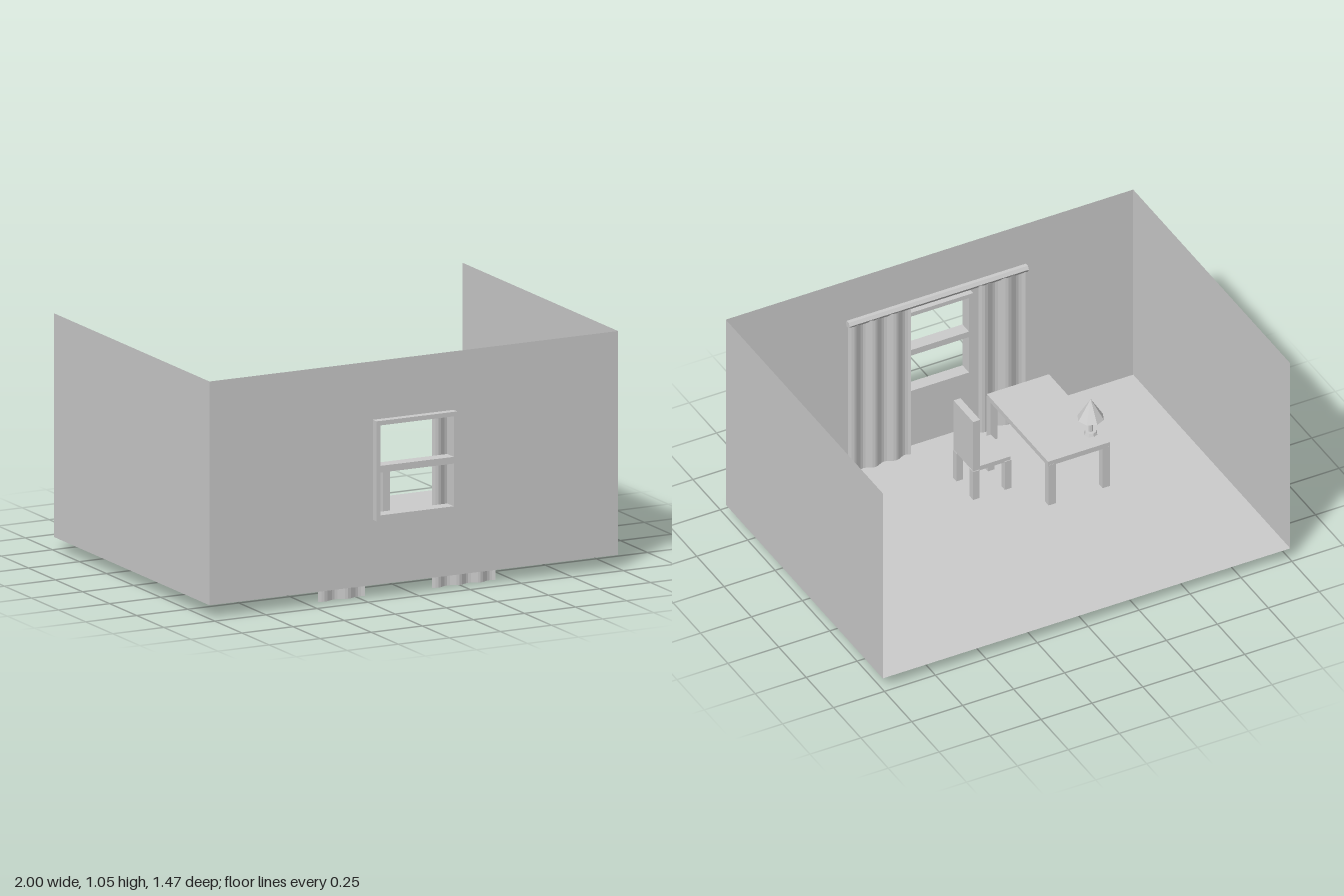
import * as THREE from 'three';

const FLOOR = 0.065;
const mat = new THREE.MeshStandardMaterial({ color: 0xcccccc, flatShading: true, side: THREE.DoubleSide });

function add(parent, name, geometry, x = 0, y = 0, z = 0) {
  const mesh = new THREE.Mesh(geometry, mat);
  mesh.name = name;
  mesh.position.set(x, y, z);
  parent.add(mesh);
  return mesh;
}

// Box given by its minimum and maximum corners
function box(parent, name, [x0, y0, z0], [x1, y1, z1]) {
  return add(parent, name, new THREE.BoxGeometry(x1 - x0, y1 - y0, z1 - z0),
    (x0 + x1) / 2, (y0 + y1) / 2, (z0 + z1) / 2);
}

function rect(Type, x0, y0, x1, y1) {
  return new Type().moveTo(x0, y0).lineTo(x1, y0).lineTo(x1, y1).lineTo(x0, y1).closePath();
}

function group(parent, name) {
  const g = new THREE.Group();
  g.name = name;
  parent.add(g);
  return g;
}

// Four square legs at the crossings of the given x and z positions
function legs(parent, name, xs, zs, bottom, top, width) {
  const h = width / 2;
  for (const x of xs) for (const z of zs) {
    box(parent, name, [x - h, bottom, z - h], [x + h, top, z + h]);
  }
}

// Sheet of cloth folded in a sine wave along x
function curtain(parent, name, x0, x1, waves) {
  const y0 = 0.005, y1 = 0.855;
  const geo = new THREE.PlaneGeometry(x1 - x0, y1 - y0, waves * 8, 1);
  const pos = geo.attributes.position;
  for (let i = 0; i < pos.count; i++) {
    const t = (pos.getX(i) - (x0 - x1) / 2) / (x1 - x0);
    pos.setZ(i, 0.009 * Math.sin(t * waves * Math.PI * 2));
  }
  geo.computeVertexNormals();
  add(parent, name, geo, (x0 + x1) / 2, (y0 + y1) / 2, 0.644);
}

export function createModel() {
  const model = new THREE.Group();
  model.name = 'room';

  // Room shell: floor, two side walls and the front wall with its opening
  const shell = group(model, 'shell');
  const zBack = -0.735, zFront = 0.7, top = 1.06;
  const depth = zFront - zBack, zMid = (zFront + zBack) / 2;
  add(shell, 'floor', new THREE.PlaneGeometry(2, depth).rotateX(-Math.PI / 2), 0, FLOOR, zMid);
  for (const side of [-1, 1]) {
    add(shell, side < 0 ? 'rightWall' : 'leftWall',
      new THREE.PlaneGeometry(depth, top - FLOOR).rotateY(side * Math.PI / 2),
      side, (top + FLOOR) / 2, zMid);
  }
  const wall = rect(THREE.Shape, -1, FLOOR, 1, top);
  wall.holes.push(rect(THREE.Path, -0.19, 0.365, 0.19, 0.79));
  add(shell, 'frontWall', new THREE.ShapeGeometry(wall), 0, 0, zFront);

  // Window frame with two panes open
  const frame = rect(THREE.Shape, -0.2, 0.355, 0.195, 0.8);
  frame.holes.push(rect(THREE.Path, -0.18, 0.38, 0.178, 0.57));
  frame.holes.push(rect(THREE.Path, -0.18, 0.6, 0.178, 0.78));
  add(model, 'windowFrame',
    new THREE.ExtrudeGeometry(frame, { depth: 0.06, bevelEnabled: false }), 0, 0, 0.674);

  // Curtains on a rod
  const drapes = group(model, 'curtains');
  add(drapes, 'curtainRod',
    new THREE.CylinderGeometry(0.018, 0.018, 0.88, 6).rotateZ(Math.PI / 2), -0.015, 0.86, 0.656);
  curtain(drapes, 'leftCurtain', 0.12, 0.43, 3);
  curtain(drapes, 'rightCurtain', -0.44, -0.21, 2);

  // Table
  const table = group(model, 'table');
  box(table, 'tableTop', [-0.53, 0.275, 0.035], [-0.225, 0.3, 0.595]);
  legs(table, 'tableLeg', [-0.51, -0.245], [0.052, 0.585], 0.053, 0.28, 0.035);

  // Table lamp with a faceted shade
  const lamp = group(model, 'lamp');
  lamp.position.set(-0.485, 0.3, 0.13);
  add(lamp, 'lampBase', new THREE.CylinderGeometry(0.025, 0.03, 0.015, 8), 0, 0.0075, 0);
  add(lamp, 'lampStem', new THREE.CylinderGeometry(0.01, 0.01, 0.1, 8), 0, 0.06, 0);
  add(lamp, 'lampShade', new THREE.ConeGeometry(0.06, 0.1, 8), 0, 0.135, 0);

  // Chair facing the table
  const chair = group(model, 'chair');
  box(chair, 'seat', [-0.145, 0.21, 0.228], [0.03, 0.232, 0.408]);
  box(chair, 'backrest', [0.008, 0.22, 0.222], [0.042, 0.485, 0.402]);
  legs(chair, 'chairLeg', [-0.13, 0.025], [0.24, 0.393], 0.058, 0.215, 0.032);

  return model;
}
